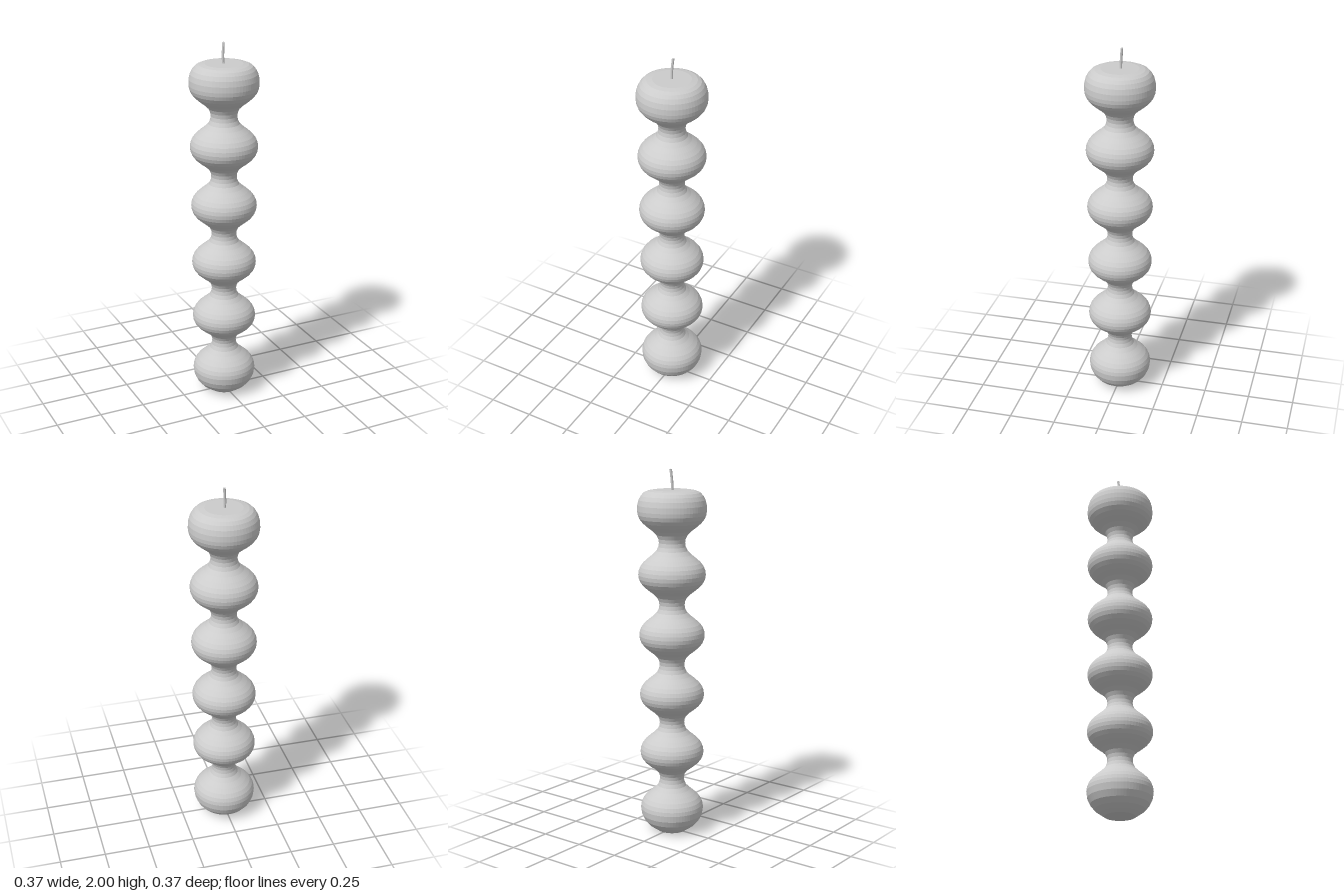
import * as THREE from 'three';

const material = () => new THREE.MeshStandardMaterial({ color: 0xcccccc, flatShading: true });

// Heights and radii of the bulbs and of the necks between them
const bulbs = [[0.13, 0.173], [0.455, 0.174], [0.78, 0.175], [1.11, 0.177], [1.44, 0.181], [1.78, 0.185]];
const necks = [[0.3, 0.066], [0.62, 0.067], [0.945, 0.067], [1.275, 0.068], [1.61, 0.07]];

// Fullness of the outline from neck (0) to bulb (1), at even steps
const swell = [0, 0.03, 0.12, 0.31, 0.55, 0.76, 0.9, 0.975, 1];

function curveBetween([y0, r0], [y1, r1], reverse) {
  return swell.slice(1).map((_, i) => {
    const t = (i + 1) / (swell.length - 1);
    const s = reverse ? 1 - swell[swell.length - 2 - i] : swell[i + 1];
    return new THREE.Vector2(r0 + (r1 - r0) * s, y0 + (y1 - y0) * t);
  });
}

function candleProfile() {
  // flat base and rounded underside
  const points = [[0, 0], [0.08, 0], [0.102, 0.015], [0.13, 0.035], [0.153, 0.062], [0.168, 0.095], [0.173, 0.13]]
    .map(([r, y]) => new THREE.Vector2(r, y));
  // alternating necks and bulbs
  necks.forEach((neck, i) => {
    points.push(...curveBetween(bulbs[i], neck, true));
    points.push(...curveBetween(neck, bulbs[i + 1], false));
  });
  // rounded shoulder and flat top
  [[0.184, 1.81], [0.177, 1.838], [0.165, 1.86], [0.15, 1.876], [0.13, 1.885], [0.1, 1.89], [0, 1.89]]
    .forEach(([r, y]) => points.push(new THREE.Vector2(r, y)));
  return points;
}

export function createModel() {
  const group = new THREE.Group();
  group.name = 'bubbleCandle';

  // Turned wax body
  const body = new THREE.Mesh(new THREE.LatheGeometry(candleProfile(), 64), material());
  body.name = 'waxBody';
  group.add(body);

  // Slightly bent wick with a closed tip
  const wick = new THREE.Group();
  wick.name = 'wick';
  const path = new THREE.CatmullRomCurve3([
    new THREE.Vector3(-0.002, 1.87, -0.002),
    new THREE.Vector3(-0.004, 1.92, -0.004),
    new THREE.Vector3(-0.002, 1.96, -0.007),
    new THREE.Vector3(0.001, 1.998, -0.01),
  ]);
  const stem = new THREE.Mesh(new THREE.TubeGeometry(path, 10, 0.007, 8), material());
  stem.name = 'wickStem';
  const tip = new THREE.Mesh(new THREE.SphereGeometry(0.007, 8, 4), material());
  tip.name = 'wickTip';
  tip.scale.y = 0.3;
  tip.position.copy(path.getPoint(1));
  wick.add(stem, tip);
  group.add(wick);

  return group;
}
